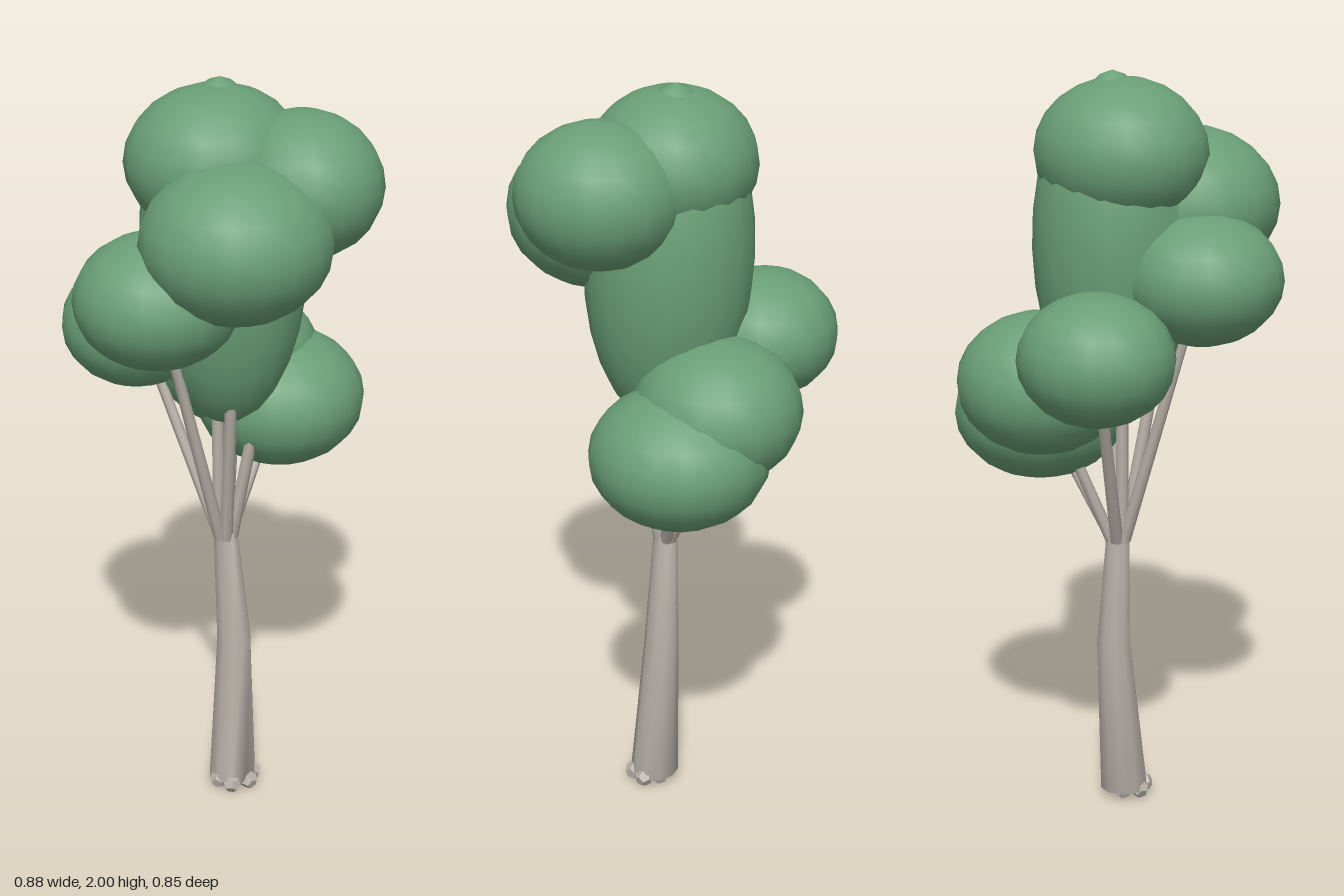
import * as THREE from 'three';

const leafGreen = new THREE.MeshStandardMaterial({ color: 0x6a9f76 });
leafGreen.name = 'leaf green';
const barkGrey = new THREE.MeshStandardMaterial({ color: 0xb8b1a9 });
barkGrey.name = 'bark grey';

const V = (x, y, z) => new THREE.Vector3(x, y, z);

// Tapered tube through a list of [centre, radius] rings
function taperedLimb(rings, sides) {
  const pos = [], index = [];
  rings.forEach(([c, r], j) => {
    for (let i = 0; i < sides; i++) {
      const a = (i / sides) * Math.PI * 2;
      pos.push(c.x + Math.sin(a) * r, c.y, c.z + Math.cos(a) * r);
      if (j === rings.length - 1) continue;
      const p = j * sides + i, q = j * sides + (i + 1) % sides;
      index.push(p, q, q + sides, p, q + sides, p + sides);
    }
  });
  // End caps
  const last = (rings.length - 1) * sides;
  for (let i = 1; i < sides - 1; i++) {
    index.push(0, i + 1, i, last, last + i, last + i + 1);
  }
  const g = new THREE.BufferGeometry();
  g.setAttribute('position', new THREE.Float32BufferAttribute(pos, 3));
  g.setIndex(index);
  g.computeVertexNormals();
  return g;
}

export function createModel() {
  const tree = new THREE.Group();
  tree.name = 'tree';
  const add = (geometry, material, name, parent = tree) => {
    const m = new THREE.Mesh(geometry, material);
    m.name = name;
    parent.add(m);
    return m;
  };

  // Leaning trunk
  add(taperedLimb([
    [V(0.003, 0.03, 0.042), 0.066],
    [V(0.022, 0.45, 0.02), 0.047],
    [V(0, 0.78, 0.01), 0.032],
  ], 10), barkGrey, 'trunk');

  // Knobbly roots around the foot
  const roots = new THREE.Group();
  roots.name = 'roots';
  tree.add(roots);
  for (let i = 0; i < 6; i++) {
    const a = (i / 6) * Math.PI * 2 + 0.3;
    const root = add(new THREE.DodecahedronGeometry(0.026, 0), barkGrey, 'root', roots);
    root.position.set(0.003 + Math.sin(a) * 0.05, 0.029, 0.057 + Math.cos(a) * 0.043);
    root.rotation.set(a, a * 2, 0);
  }

  // Leaf clumps: centre, then radii
  const clumps = [
    [V(-0.02, 1.795, -0.005), V(0.23, 0.19, 0.217)],
    [V(0.128, 1.75, 0.16), V(0.197, 0.184, 0.212)],
    [V(-0.09, 1.648, 0.188), V(0.242, 0.2, 0.238)],
    [V(-0.23, 1.488, 0.05), V(0.212, 0.17, 0.207)],
    [V(-0.11, 1.317, -0.235), V(0.202, 0.168, 0.195)],
    [V(0.14, 1.2, -0.135), V(0.222, 0.187, 0.217)],
    [V(0.212, 1.1, -0.045), V(0.228, 0.182, 0.232)],
  ];
  const branches = new THREE.Group();
  branches.name = 'branches';
  const canopy = new THREE.Group();
  canopy.name = 'canopy';
  tree.add(branches, canopy);

  clumps.forEach(([c, r], i) => {
    const clump = add(new THREE.SphereGeometry(1, 18, 12), leafGreen, 'leafClump', canopy);
    clump.position.copy(c);
    clump.scale.copy(r);
    clump.rotation.y = 0.2 * (i % 3 - 1);

    // Branch from the trunk top into the clump
    const flat = V(c.x, 0, c.z).normalize().multiplyScalar(0.017);
    const start = V(flat.x, 0.755, flat.z + 0.01);
    add(taperedLimb([[start, 0.018], [start.clone().lerp(c, 0.9), 0.014]], 7),
      barkGrey, 'branch', branches);
  });

  // Tall central leaf mass with a small pointed tip
  const core = new THREE.SphereGeometry(1, 18, 14);
  const p = core.attributes.position;
  for (let i = 0; i < p.count; i++) {
    const y = p.getY(i), squeeze = y > 0.6 ? 1 - (y - 0.6) * 0.9 : 1;
    p.setXYZ(i, p.getX(i) * 0.212 * squeeze, 1.55 + y * 0.45, p.getZ(i) * 0.217 * squeeze - y * 0.015);
  }
  core.computeVertexNormals();
  add(core, leafGreen, 'centralLeafMass', canopy);

  return tree;
}
